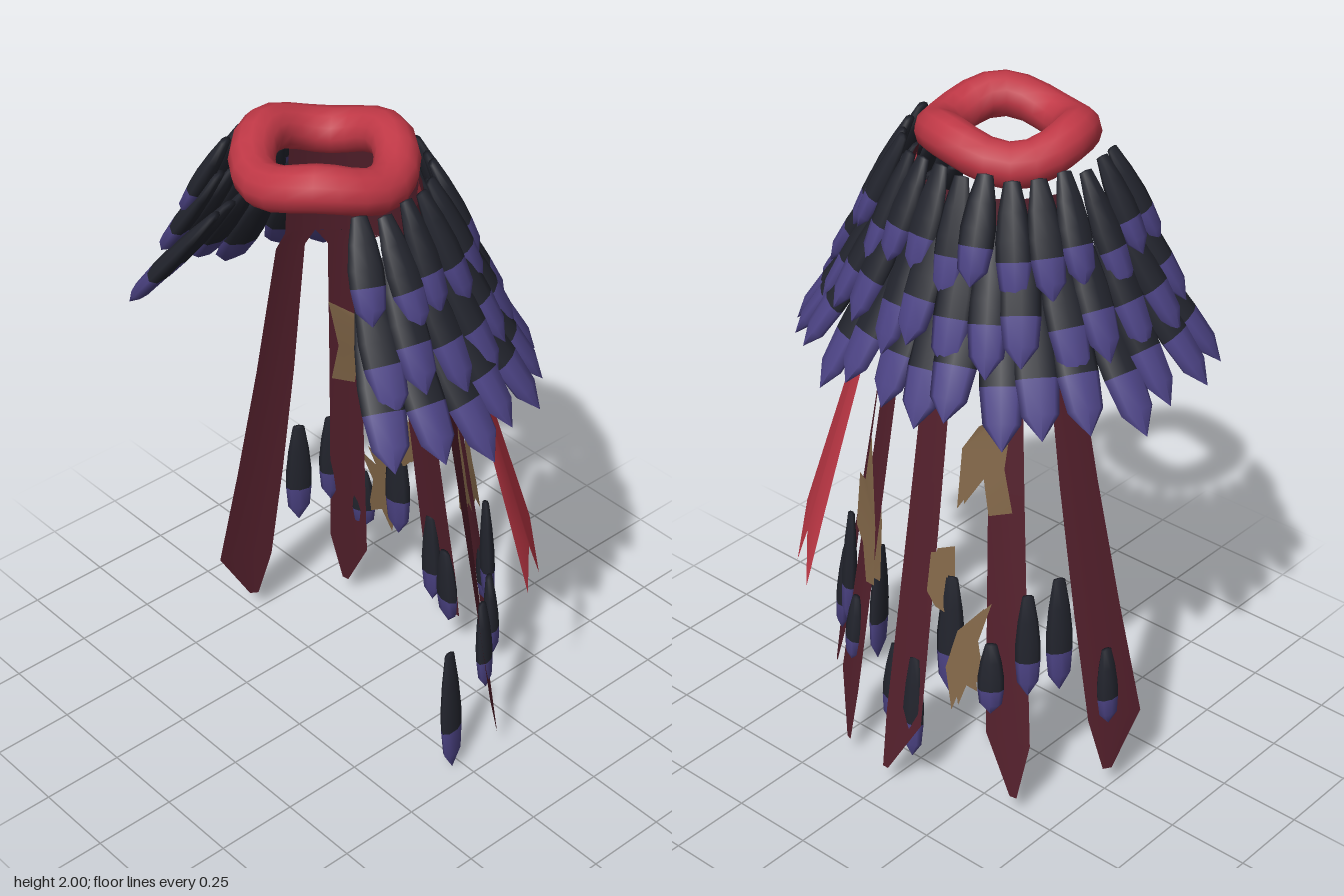
import * as THREE from 'three';
import { mergeVertices } from 'three/addons/utils/BufferGeometryUtils.js';

const CZ = 0.13; // z of the neck axis
const mat = (name, color, side = THREE.FrontSide) => {
  const m = new THREE.MeshStandardMaterial({ color, side });
  m.name = name;
  return m;
};
const rad = THREE.MathUtils.degToRad;

// Point around the neck axis; angle 0 is the back, +90 the model's left
const polar = (deg, r, y) =>
  new THREE.Vector3(r * Math.sin(rad(deg)), y, CZ - r * Math.cos(rad(deg)));

// Radius of the flared cloth at a height
const clothRadius = (y) => 0.26 + (1.83 - y) * 0.155;

// Grid surface from a rule (u, v) -> Vector3
function surface(cols, rows, rule) {
  const geo = new THREE.PlaneGeometry(1, 1, cols, rows);
  const pos = geo.attributes.position;
  for (let i = 0; i < pos.count; i++) {
    const p = rule(pos.getX(i) + 0.5, 0.5 - pos.getY(i));
    pos.setXYZ(i, p.x, p.y, p.z);
  }
  geo.computeVertexNormals();
  return geo;
}

export function createModel() {
  const root = new THREE.Group();
  root.name = 'featherCape';
  const red = mat('red cloth', 0xc03846, THREE.DoubleSide);
  const maroon = mat('dark maroon cloth', 0x521f2b, THREE.DoubleSide);
  const gold = mat('dull gold cloth', 0x806547, THREE.DoubleSide);
  const black = mat('black feather', 0x22242d);
  const purple = mat('purple feather tip', 0x4d4486);

  const add = (parent, name, geo, material) => {
    const m = new THREE.Mesh(geo, material);
    m.name = name;
    parent.add(m);
    return m;
  };

  // Padded collar, waving up and down three times
  const torus = new THREE.TorusGeometry(0.194, 0.064, 12, 22).rotateX(-Math.PI / 2);
  torus.deleteAttribute('uv');
  torus.deleteAttribute('normal');
  const ring = mergeVertices(torus, 1e-4);
  const rp = ring.attributes.position;
  for (let i = 0; i < rp.count; i++) {
    const a = Math.atan2(rp.getZ(i), rp.getX(i));
    rp.setY(i, rp.getY(i) + 1.915 + 0.021 * Math.cos(3 * (a - Math.PI / 4)));
  }
  ring.scale(1, 1, 0.96).translate(0, 0, CZ - 0.003);
  ring.computeVertexNormals();
  add(root, 'collar', ring, red);

  // Back cloth under the feathers
  add(root, 'backCloth', surface(20, 2, (u, v) => {
    const y = 1.83 - 0.32 * v;
    return polar(-70 + 140 * u, clothRadius(y), y);
  }), maroon);

  // Hanging strips: [start angles, angle at the split, angle at the hem, tip across, tip y, twist, hem width]
  const strips = [
    [-70, -54, -67, -82, 0.8, 0.07, -0.06, 0.165],
    [-54, -20, -40, -42, 0.4, 0.06, -0.08, 0.13],
    [-20, 12, -7, -5, 0.85, 0.06, 0, 0.13],
    [12, 42, 26, 24, 0.15, 0.06, 0, 0.13],
    [42, 70, 58, 62, 0.45, 0.07, 0.05, 0.13],
  ];
  const rows = [1.51, 1.46, 1.0, 0.6, 0.24, 0];
  for (const [a0, a1, aTop, aHem, tip, tipY, twist, hemWidth] of strips) {
    add(root, 'clothStrip', surface(4, rows.length - 1, (u, v) => {
      const k = Math.round(v * (rows.length - 1));
      if (k === 0) return polar(a0 + (a1 - a0) * u, clothRadius(rows[0]), rows[0]);
      const last = k === rows.length - 1;
      const y = last ? tipY : rows[k];
      const t = (1.46 - y) / 1.4;
      const width = 0.085 + (hemWidth - 0.085) * t;
      const across = last ? tip - 0.5 + (u - 0.5) * 0.15 : u - 0.5;
      const r = clothRadius(y) + twist * across * t;
      const mid = aTop + (aHem - aTop) * t;
      return polar(mid + THREE.MathUtils.radToDeg((across * width) / r), r, y);
    }), maroon);
  }

  // Bright red flaring strip with a zigzag hem
  const hem = [0.56, 0.7, 0.55, 0.71, 0.6];
  add(root, 'redStrip', surface(4, 6, (u, v) => {
    const k = Math.round(u * 4);
    const y = 1.84 + (hem[k] - 1.84) * v;
    const fold = (k % 2 ? 0.015 : 0) * v;
    return polar(44.5 + (u - 0.5) * (14 + 16 * v), 0.25 + (1.83 - y) * 0.285 + fold, y);
  }), red);

  // Ragged patches lying on both faces of the cloth, outlined as seen from the front
  const patches = [
    [[-0.25, 1.25], [-0.25, 1.08], [-0.28, 0.95], [-0.23, 0.94], [-0.205, 1.06], [-0.15, 0.95], [-0.145, 1.13], [-0.18, 1.2]],
    [[-0.14, 0.82], [-0.09, 0.8], [-0.09, 0.68], [-0.12, 0.64], [-0.17, 0.62], [-0.15, 0.72]],
    [[-0.25, 0.66], [-0.19, 0.58], [-0.17, 0.46], [-0.2, 0.33], [-0.22, 0.42], [-0.26, 0.4], [-0.23, 0.54]],
    [[0.21, 1.02], [0.22, 0.88], [0.28, 0.86], [0.25, 0.72], [0.19, 0.7], [0.15, 0.6], [0.11, 0.61], [0.13, 0.78]],
  ];
  for (const pts of patches) {
    for (const offset of [-0.012, 0.014]) {
      const geo = new THREE.ShapeGeometry(new THREE.Shape(pts.map(([x, y]) => new THREE.Vector2(x, y))));
      const pos = geo.attributes.position;
      for (let i = 0; i < pos.count; i++) {
        const r = clothRadius(pos.getY(i)) + offset;
        pos.setZ(i, CZ - Math.sqrt(r * r - pos.getX(i) ** 2));
      }
      geo.computeVertexNormals();
      add(root, 'goldPatch', geo, gold);
    }
  }

  // Feather: unit length along y, black vane and purple tip
  const lathe = (pts) => new THREE.LatheGeometry(pts.map(([r, y]) => new THREE.Vector2(r, y)), 8);
  const vaneGeo = lathe([[0, 0], [0.45, 0.01], [0.8, 0.25], [1, 0.48], [1, 0.64]]);
  const tipGeo = lathe([[1, 0.64], [0.85, 0.85], [0, 1]]);
  function feather(name, from, to, outward, halfWidth, thickness) {
    const g = new THREE.Group();
    g.name = name;
    add(g, 'vane', vaneGeo, black);
    add(g, 'tip', tipGeo, purple);
    const y = to.clone().sub(from);
    const length = y.length();
    y.normalize();
    const x = new THREE.Vector3().crossVectors(y, outward).normalize();
    const z = new THREE.Vector3().crossVectors(x, y);
    g.quaternion.setFromRotationMatrix(new THREE.Matrix4().makeBasis(x, y, z));
    g.position.copy(from);
    g.scale.set(halfWidth, length, thickness);
    root.add(g);
  }

  // Mantle: three overlapping rows, open at the front, upper rows outermost
  const mantle = [
    { n: 17, r0: 0.268, y0: 1.9, back: 0.385, side: 0.05, y1: 1.61, w: 0.048 },
    { n: 18, r0: 0.292, y0: 1.78, back: 0.46, side: 0.068, y1: 1.43, w: 0.055 },
    { n: 19, r0: 0.31, y0: 1.66, back: 0.52, side: 0.1, y1: 1.28, w: 0.06 },
  ];
  mantle.forEach(({ n, r0, y0, back, side, y1, w }, row) => {
    for (let i = 0; i < n; i++) {
      const a = -113 + (226 * i) / (n - 1);
      const s = Math.abs(Math.sin(rad(a)));
      const wob = Math.sin(i * 2.4 + row * 1.7);
      const lift = Math.abs(a) > 95 ? 0.03 : 0;
      feather('mantleFeather', polar(a, r0 + 0.02 * s, y0 + 0.01 * wob),
        polar(a + 2 * wob, back + side * s - 0.008 * wob, y1 + 0.028 * wob + lift),
        polar(a, 1, 0).setZ(-Math.cos(rad(a))), w, 0.027);
    }
  });

  // Loose feathers hanging by the hem: [x, z, top y, bottom y, half width]
  const loose = [
    [-0.49, 0.0, 0.5, 0.25, 0.036], [-0.385, -0.09, 0.74, 0.37, 0.04], [-0.365, -0.2, 0.73, 0.4, 0.036],
    [-0.275, -0.25, 0.55, 0.32, 0.038], [-0.155, -0.28, 0.74, 0.35, 0.042], [-0.065, -0.34, 0.45, 0.11, 0.036],
    [0.055, -0.29, 0.41, 0.13, 0.045], [0.2, -0.3, 0.52, 0.3, 0.036], [0.27, -0.24, 0.75, 0.37, 0.038],
    [0.355, -0.18, 0.56, 0.27, 0.038], [0.43, -0.08, 0.56, 0.25, 0.038], [0.42, 0.035, 0.43, 0, 0.044],
  ];
  for (const [x, z, y0, y1, w] of loose) {
    const out = new THREE.Vector3(x, 0, z - CZ).normalize();
    feather('looseFeather', new THREE.Vector3(x, y0, z),
      new THREE.Vector3(x, y1, z).addScaledVector(out, 0.02), out, w, 0.022);
  }
  return root;
}
